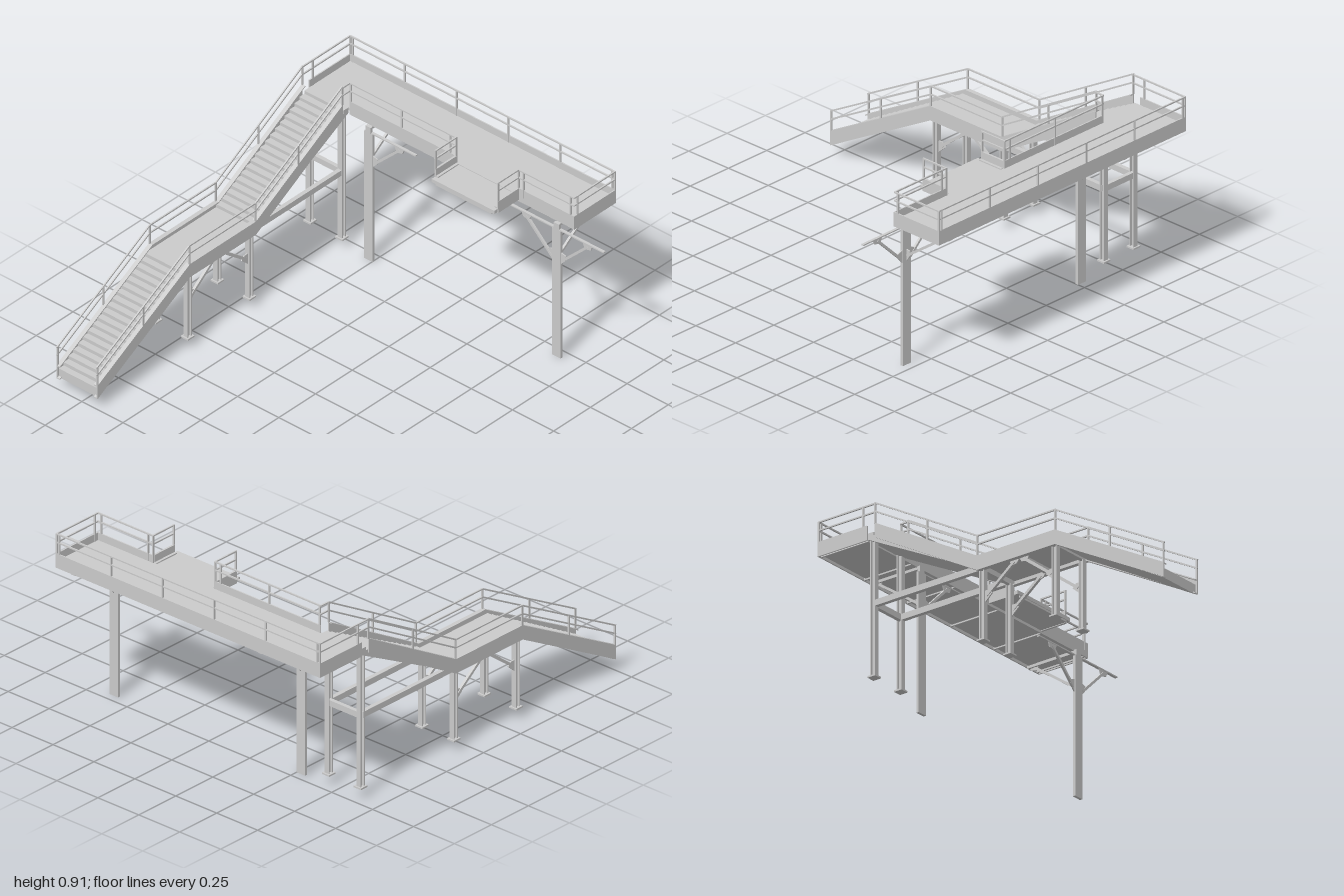
import * as THREE from 'three';

const material = new THREE.MeshStandardMaterial({ color: 0xcccccc, flatShading: true, side: THREE.DoubleSide });

export function createModel() {
  const root = new THREE.Group();
  let parent = root;

  const add = (name, geometry) => {
    const mesh = new THREE.Mesh(geometry, material);
    mesh.name = name;
    parent.add(mesh);
    return mesh;
  };
  const group = (name, build) => {
    const g = new THREE.Group();
    g.name = name;
    root.add(g);
    parent = g;
    build();
    parent = root;
  };
  const box = (name, x0, x1, y0, y1, z0, z1) =>
    add(name, new THREE.BoxGeometry(x1 - x0, y1 - y0, z1 - z0))
      .position.set((x0 + x1) / 2, (y0 + y1) / 2, (z0 + z1) / 2);
  // Square bar between two points
  const bar = (name, a, b, w = 0.008) => {
    const p = new THREE.Vector3(...a), q = new THREE.Vector3(...b);
    const mesh = add(name, new THREE.BoxGeometry(w, w, p.distanceTo(q) + w * 0.5));
    mesh.position.copy(p).lerp(q, 0.5);
    mesh.lookAt(q);
  };
  // Side profile given as [z, y], extruded from x0 to x1
  const profile = (name, pts, x0, x1) => {
    const shape = new THREE.Shape(pts.map(([z, y]) => new THREE.Vector2(-z, y)));
    const geo = new THREE.ExtrudeGeometry(shape, { depth: x1 - x0, bevelEnabled: false });
    geo.rotateY(Math.PI / 2).translate(x0, 0, 0);
    add(name, geo);
  };
  // Band of vertical thickness t hanging under a [z, y] path
  const band = (name, path, drop, t, x0, x1) => profile(name, [
    ...path.map(([z, y]) => [z, y - drop]),
    ...path.map(([z, y]) => [z, y - drop - t]).reverse()], x0, x1);
  // Two-rail handrail along a path of [x, yTop, z], with posts
  const railing = (name, path, posts, postHeight = 0.1) => group(name, () => {
    for (let i = 0; i < path.length - 1; i++)
      for (const d of [0, 0.042])
        bar(d ? 'midRail' : 'topRail', [path[i][0], path[i][1] - d, path[i][2]],
          [path[i + 1][0], path[i + 1][1] - d, path[i + 1][2]], 0.007);
    for (const [x, y, z] of posts) bar('railPost', [x, y - postHeight, z], [x, y, z], 0.008);
  });

  const L = -0.905, R = -0.655;
  const path = [[1, 0.13], [0.37, 0.475], [-0.08, 0.475], [-0.67, 0.81]];

  // Stair and landing stringers: channel sections opening inwards
  group('stringers', () => {
    for (const [x0, x1, w0, w1] of [[L, L + 0.022, L, L + 0.006], [R - 0.022, R, R - 0.006, R]]) {
      band('stringerWeb', path, 0, 0.073, w0, w1);
      band('stringerTopFlange', path, 0, 0.006, x0, x1);
      band('stringerBottomFlange', path, 0.067, 0.006, x0, x1);
    }
  });

  // Sawtooth flights with a closed underside
  const flight = (name, z0, y0, z1, y1, n) => {
    const pts = [], dz = (z1 - z0) / n, dy = (y1 - y0) / n;
    for (let i = 0; i < n; i++)
      pts.push([z0 + i * dz, y0 + i * dy], [z0 + i * dz, y0 + (i + 1) * dy]);
    pts.push([z1, y1], [z1, y1 - 0.03], [z0, y0 - 0.03]);
    profile(name, pts, L + 0.006, R - 0.006);
  };
  group('stairs', () => {
    flight('lowerFlight', 0.99, 0.09, 0.37, 0.44, 19);
    flight('upperFlight', -0.08, 0.44, -0.715, 0.77, 19);
  });
  group('landing', () => {
    box('landingDeck', L + 0.006, R - 0.006, 0.428, 0.44, -0.08, 0.37);
    for (const z of [0.355, 0.145, -0.065]) box('landingJoist', L + 0.006, R - 0.006, 0.403, 0.43, z - 0.01, z + 0.01);
  });

  // Stair handrails on both sides
  for (const x of [L + 0.004, R - 0.004]) {
    const inner = x > -0.8;
    const rail = [...path.map(([z, y]) => [x, y + 0.1, z])];
    railing(inner ? 'leftStairRail' : 'rightStairRail', rail, [
      [x, 0.23, 0.996], [x, 0.402, 0.685], [x, 0.575, 0.37], [x, 0.575, -0.08],
      [x, 0.74, -0.37], [x, 0.91, -0.67]]);
  }

  // H-section legs with foot plates under the stair
  const legXs = [-0.877, -0.683];
  const leg = (x, z, top) => {
    for (const s of [-1, 1]) box('legFlange', x - 0.013, x + 0.013, 0.05, top, z + s * 0.011 - 0.003, z + s * 0.011 + 0.003);
    box('legWeb', x - 0.003, x + 0.003, 0.05, top, z - 0.011, z + 0.011);
    box('footPlate', x - 0.022, x + 0.022, 0.05, 0.058, z - 0.022, z + 0.022);
  };
  group('stairSupports', () => {
    for (const x of legXs) {
      leg(x, 0.355, 0.405);
      leg(x, -0.065, 0.405);
      leg(x, -0.695, 0.735);
      box('tieBeam', x - 0.011, x + 0.011, 0.405, 0.435, -0.69, -0.07);
      // Knee braces meeting under the middle of the landing
      for (const s of [-1, 1]) {
        const z = (d) => 0.145 + s * d;
        bar('landingBrace', [x, 0.275, z(0.185)], [x, 0.395, z(0.03)], 0.014);
        profile('lowerGusset', [[z(0.2), 0.24], [z(0.2), 0.3], [z(0.175), 0.3], [z(0.155), 0.28]], x - 0.003, x + 0.003);
        profile('upperGusset', [[z(0), 0.405], [z(0.055), 0.405], [z(0.045), 0.38], [z(0.015), 0.385]], x - 0.003, x + 0.003);
      }
    }
    box('crossBeam', legXs[0], legXs[1], 0.405, 0.435, -0.705, -0.685);
  });

  // Upper walkway: deck, edge channels and toe boards
  const E = 0.71, F = -0.715, B = -1, X0 = -0.01, X1 = 0.37;
  group('walkway', () => {
    box('deck', L, E, 0.758, 0.77, B, F);
    box('underside', L + 0.015, E - 0.015, 0.742, 0.75, B + 0.015, F - 0.015);
    const edge = (x0, x1, z0, z1) => {
      box('edgeBeam', x0, x1, 0.735, 0.765, z0, z1);
      return [x0, x1, 0.765, 0.808, z0, z1];
    };
    box('toeBoard', ...edge(L, E, B, B + 0.006));
    box('toeBoard', ...edge(L, L + 0.006, B, F));
    box('toeBoard', ...edge(E - 0.006, E, B, F));
    box('toeBoard', ...edge(R, X0, F - 0.006, F));
    box('toeBoard', ...edge(X1, E, F - 0.006, F));
    box('edgeBeam', X0, X1, 0.735, 0.758, F - 0.006, F);
    for (let i = 0; i <= 5; i++) {
      const x = -0.885 + i * 0.315;
      box('joist', x - 0.004, x + 0.004, 0.735, 0.758, B + 0.006, F - 0.006);
    }
  });

  // Loading bay projecting from the front edge
  group('bay', () => {
    box('bayDeck', X0, X1, 0.748, 0.766, F, -0.552);
    box('bayFrontEdge', X0 + 0.02, X1 - 0.02, 0.738, 0.75, -0.562, -0.555);
    for (const x of [X0, X1]) {
      box('bayToeBoard', x - 0.005, x + 0.005, 0.745, 0.808, F, -0.575);
      const s = x === X0 ? 1 : -1;
      box('bayKerb', Math.min(x, x + s * 0.018), Math.max(x, x + s * 0.018), 0.764, 0.772, F, -0.575);
    }
  });

  // Walkway handrails
  const T = 0.907, l = L + 0.004, r = E - 0.004, b = B + 0.004, f = F - 0.003;
  const backPosts = Array.from({ length: 6 }, (_, i) => [-0.885 + i * 0.315, T, b]);
  railing('backRail', [[l, T, -0.67], [l, T, b], [r, T, b], [r, T, f], [X1, T, f], [X1, T, -0.575]], [
    ...backPosts, [l, T, -0.74], [l, T, b], [r, T, b], [r, T, -0.74], [0.685, T, f], [0.4, T, f],
    [X1, T, f], [X1, T, -0.578]], 0.14);
  railing('frontRail', [[R, T, -0.67], [R, T, f], [X0, T, f], [X0, T, -0.575]], [
    [R + 0.006, T, f], [-0.34, T, f], [-0.045, T, f], [X0, T, f], [X0, T, -0.578]], 0.14);

  // Walkway columns with braced bracket arms
  const column = (cx, sides) => group('column', () => {
    const z = -0.703;
    box('columnShaft', cx - 0.026, cx + 0.026, 0, 0.705, z - 0.007, z + 0.007);
    box('columnHead', cx - 0.016, cx + 0.016, 0.7, 0.737, z - 0.007, z + 0.007);
    for (const s of sides) {
      const ends = [cx - s * 0.02, cx + s * 0.285].sort((p, q) => p - q);
      box('sideArm', ends[0], ends[1], 0.703, 0.709, z - 0.009, z + 0.005);
      bar('sideBrace', [cx + s * 0.035, 0.545, z], [cx + s * 0.185, 0.69, z], 0.012);
      for (const pts of [
        [[0.024, 0.52], [0.024, 0.585], [0.052, 0.575], [0.055, 0.555]],
        [[0.155, 0.705], [0.215, 0.705], [0.205, 0.68], [0.17, 0.672]]]) {
        const shape = new THREE.Shape(pts.map(([u, v]) => new THREE.Vector2(cx + s * u, v)));
        add('gusset', new THREE.ExtrudeGeometry(shape, { depth: 0.006, bevelEnabled: false })).position.z = z - 0.003;
      }
    }
    // Arm and brace reaching back beneath the deck
    box('backArm', cx - 0.012, cx + 0.012, 0.722, 0.736, -0.985, z);
    bar('backBrace', [cx, 0.555, -0.715], [cx, 0.722, -0.95], 0.012);
    profile('backGusset', [[-0.71, 0.525], [-0.71, 0.585], [-0.728, 0.58], [-0.733, 0.56]], cx - 0.003, cx + 0.003);
    profile('backGusset', [[-0.925, 0.725], [-0.98, 0.725], [-0.965, 0.71], [-0.935, 0.705]], cx - 0.003, cx + 0.003);
  });
  column(-0.525, [1]);
  column(0.618, [-1, 1]);

  return root;
}
